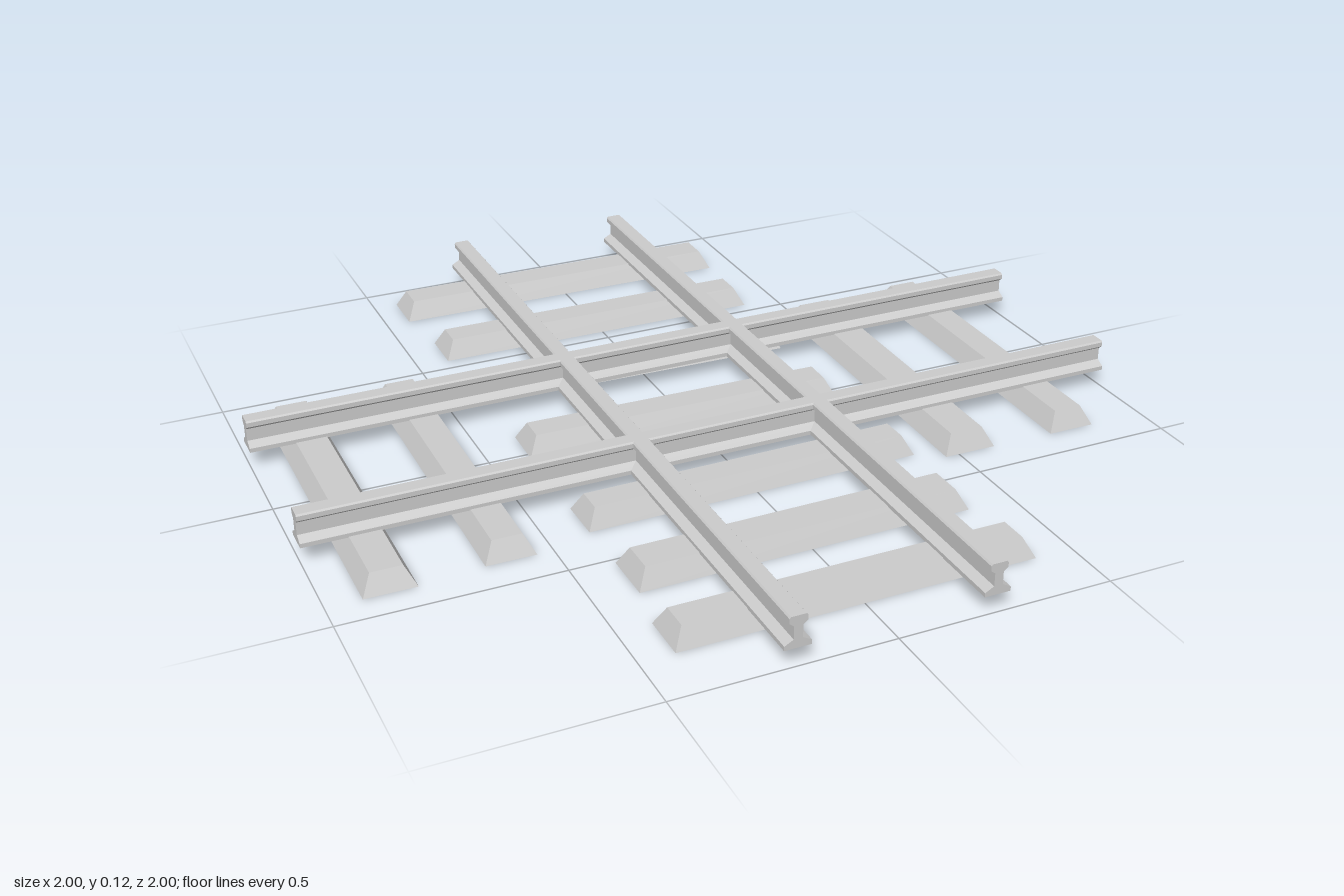
import * as THREE from 'three';

const material = new THREE.MeshStandardMaterial({ color: 0xcccccc, flatShading: true });
const SLEEPER_HEIGHT = 0.045;
const BEVEL = 0.023;
const GAUGE = 0.224; // half the distance between paired rails

// Half of the rail section, from the foot up to the head: [half width, height]
const RAIL_PROFILE = [
  [0.03, 0.043], [0.03, 0.053], [0.01, 0.064], [0.01, 0.094],
  [0.02, 0.102], [0.02, 0.113], [0.017, 0.117],
];

function railGeometry() {
  const right = RAIL_PROFILE.map(([x, y]) => new THREE.Vector2(x, y));
  const left = RAIL_PROFILE.map(([x, y]) => new THREE.Vector2(-x, y)).reverse();
  const shape = new THREE.Shape([...right, ...left]);
  return new THREE.ExtrudeGeometry(shape, { depth: 2, bevelEnabled: false }).translate(0, 0, -1);
}

// Sleeper lying along x, with all four sides sloping in towards the top
function sleeperGeometry(length, width) {
  const geometry = new THREE.BoxGeometry(length, SLEEPER_HEIGHT, width);
  const p = geometry.attributes.position;
  for (let i = 0; i < p.count; i++) {
    if (p.getY(i) > 0) {
      p.setX(i, p.getX(i) - Math.sign(p.getX(i)) * BEVEL);
      p.setZ(i, p.getZ(i) - Math.sign(p.getZ(i)) * BEVEL);
    }
  }
  geometry.computeVertexNormals();
  return geometry.translate(0, SLEEPER_HEIGHT / 2, 0);
}

// Sleeper between two end points on the ground
function sleeper(name, x0, z0, x1, z1, width) {
  const dx = x1 - x0, dz = z1 - z0;
  const mesh = new THREE.Mesh(sleeperGeometry(Math.hypot(dx, dz), width), material);
  mesh.position.set((x0 + x1) / 2, 0, (z0 + z1) / 2);
  mesh.rotation.y = -Math.atan2(dz, dx);
  mesh.name = name;
  return mesh;
}

export function createModel() {
  const group = new THREE.Group();
  group.name = 'railCrossing';

  // Two pairs of rails crossing at right angles
  const geometry = railGeometry();
  for (const side of [-1, 1]) {
    const long = new THREE.Mesh(geometry, material);
    long.name = side < 0 ? 'mainRailRight' : 'mainRailLeft';
    long.position.x = side * GAUGE;
    const cross = new THREE.Mesh(geometry, material);
    cross.name = side < 0 ? 'crossRailBack' : 'crossRailFront';
    cross.rotation.y = Math.PI / 2;
    cross.position.z = side * GAUGE;
    group.add(long, cross);
  }

  // Slightly crooked sleepers under the main track: x0, x1, z at each end, width
  const mainSleepers = [
    [-0.44, 0.43, -0.864, -0.858, 0.118],
    [-0.42, 0.41, -0.597, -0.592, 0.113],
    [-0.435, 0.38, -0.338, -0.318, 0.118],
    [-0.405, 0.38, -0.035, -0.02, 0.112],
    [-0.405, 0.403, 0.323, 0.315, 0.11],
    [-0.40, 0.387, 0.577, 0.57, 0.126],
    [-0.42, 0.41, 0.807, 0.805, 0.114],
  ];
  mainSleepers.forEach(([x0, x1, z0, z1, w], i) =>
    group.add(sleeper(`mainSleeper${i + 1}`, x0, z0, x1, z1, w)));

  // Sleepers under the cross track: z0, z1, x at each end, width
  const crossSleepers = [
    [-0.412, 0.43, -0.857, -0.861, 0.118],
    [-0.418, 0.415, -0.59, -0.595, 0.115],
    [-0.408, 0.41, 0.54, 0.53, 0.128],
    [-0.418, 0.415, 0.81, 0.805, 0.115],
  ];
  crossSleepers.forEach(([z0, z1, x0, x1, w], i) =>
    group.add(sleeper(`crossSleeper${i + 1}`, x0, z0, x1, z1, w)));

  return group;
}
